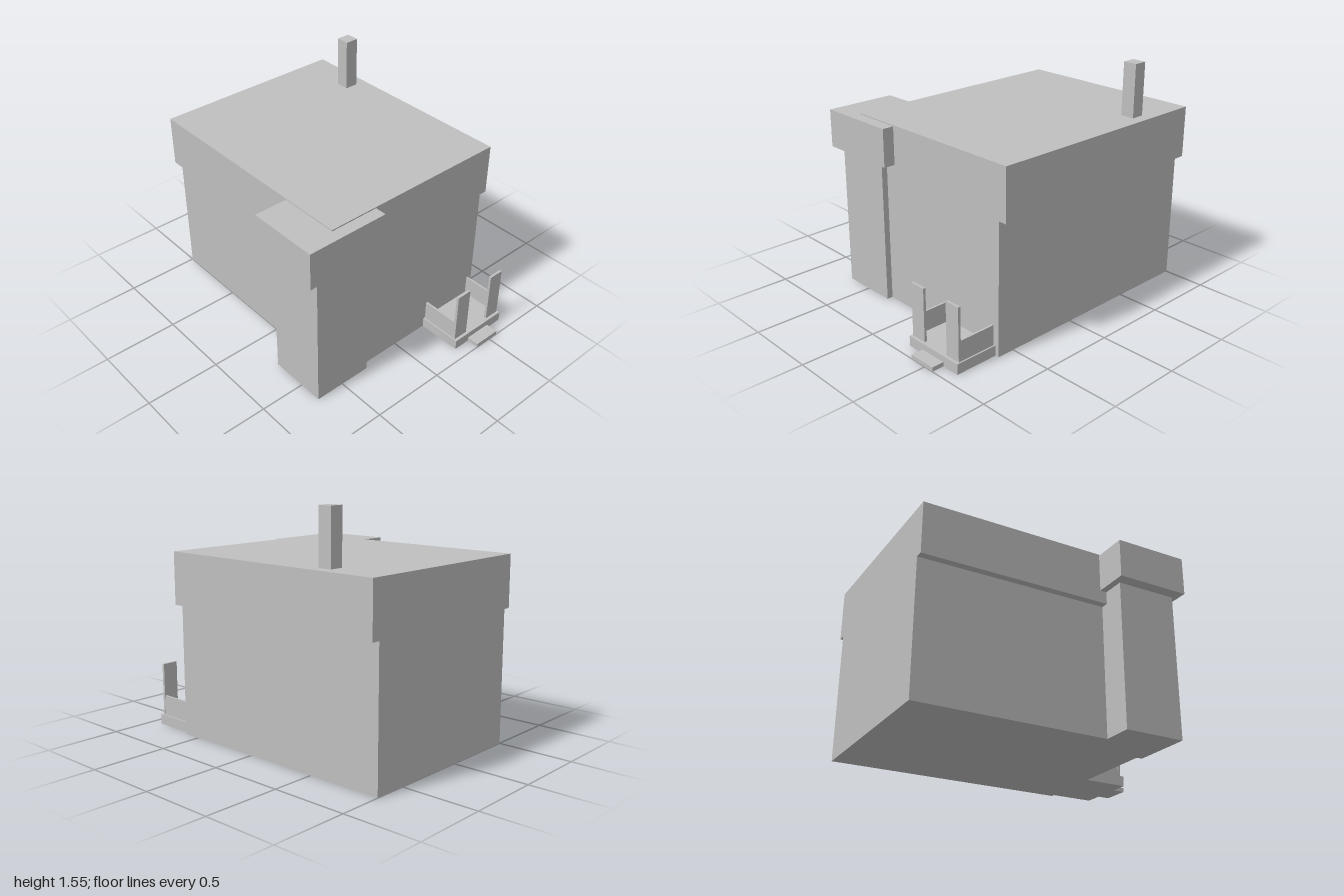
import * as THREE from 'three';

export function createModel() {
  const house = new THREE.Group();
  house.name = 'house';
  const grey = new THREE.MeshStandardMaterial({ color: 0xbfbfbf });
  grey.name = 'plain grey';

  // Box given by its extents on each axis
  function block(name, [x0, x1], [y0, y1], [z0, z1], parent = house) {
    const mesh = new THREE.Mesh(new THREE.BoxGeometry(x1 - x0, y1 - y0, z1 - z0), grey);
    mesh.position.set((x0 + x1) / 2, (y0 + y1) / 2, (z0 + z1) / 2);
    mesh.name = name;
    parent.add(mesh);
  }

  // Main volume, flush with the roof at front and back
  block('walls', [-0.5, 0.718], [0, 0.868], [-1, 0.62]);
  block('roof', [-0.55, 0.773], [0.868, 1.208], [-1, 0.62]);
  block('chimney', [0.605, 0.698], [1.208, 1.553], [-0.64, -0.55]);

  // Corner tower with a wider cap
  block('towerShaft', [-0.697, -0.295], [0, 0.95], [0.26, 0.66]);
  block('towerCap', [-0.775, -0.215], [0.95, 1.2], [0.215, 0.698]);

  // Porch with posts and side rails
  const porch = new THREE.Group();
  porch.name = 'porch';
  house.add(porch);
  block('porchFloor', [0.262, 0.692], [0, 0.068], [0.62, 0.917], porch);
  block('porchStep', [0.382, 0.57], [0, 0.028], [0.917, 1], porch);
  block('rightPost', [0.27, 0.378], [0.068, 0.42], [0.88, 0.897], porch);
  block('leftPost', [0.576, 0.682], [0.068, 0.42], [0.88, 0.897], porch);
  block('rightRail', [0.272, 0.286], [0.068, 0.202], [0.625, 0.89], porch);
  block('leftRail', [0.667, 0.681], [0.068, 0.202], [0.625, 0.89], porch);

  return house;
}
